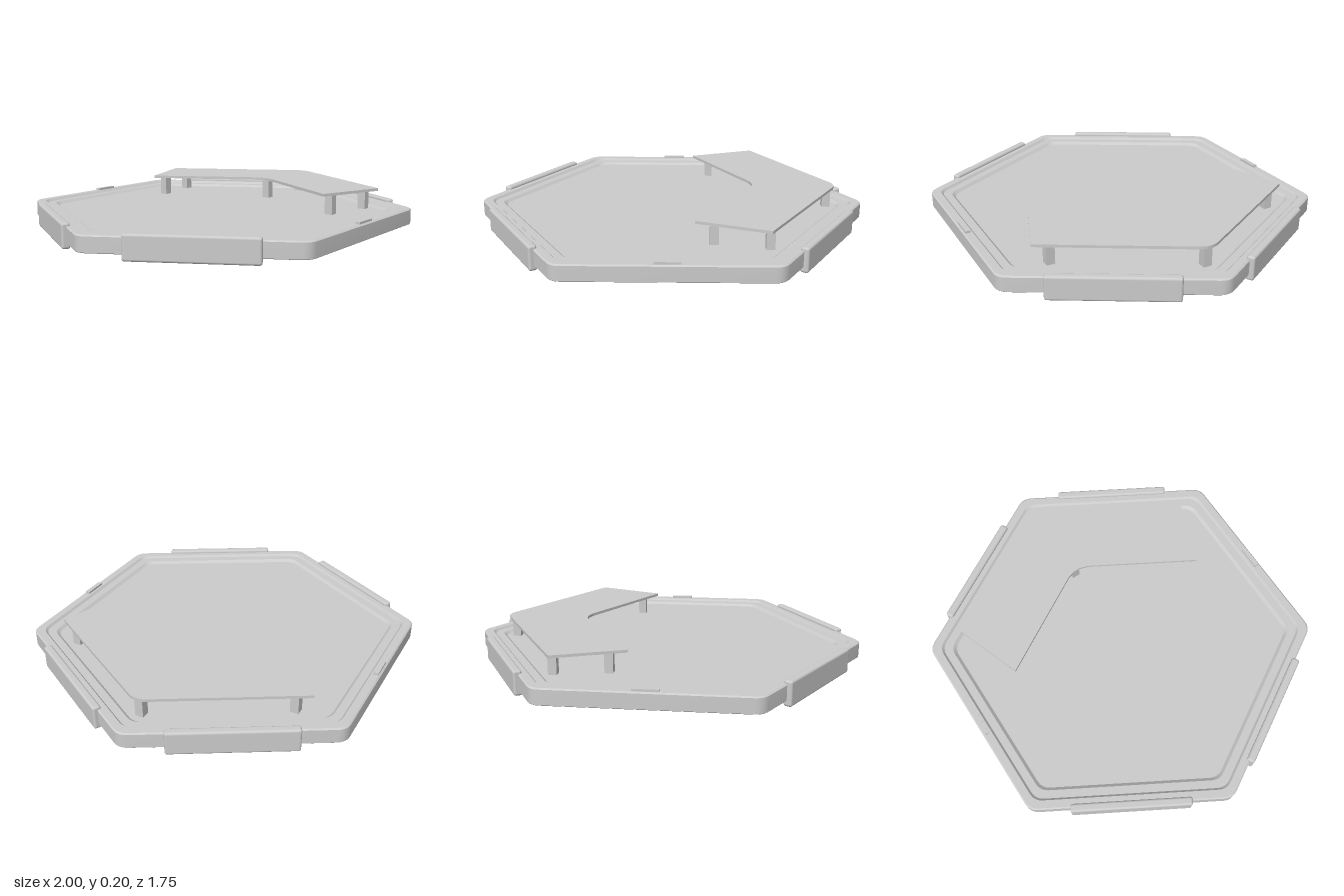
import * as THREE from 'three';
import { toCreasedNormals } from 'three/addons/utils/BufferGeometryUtils.js';
import { RoundedBoxGeometry } from 'three/addons/geometries/RoundedBoxGeometry.js';

const grey = new THREE.MeshStandardMaterial({ color: 0xcccccc });

function add(parent, name, geometry, x = 0, y = 0, z = 0) {
  const mesh = new THREE.Mesh(geometry, grey);
  mesh.name = name;
  mesh.position.set(x, y, z);
  parent.add(mesh);
  return mesh;
}

// Hexagon outline with rounded corners, pointing along x
function hexLoop(apothem, y, segments = 4) {
  const r = Math.min(0.07, apothem);
  const d = (apothem - r) / Math.cos(Math.PI / 6);
  const points = [];
  for (let k = 0; k < 6; k++) {
    const c = (k * Math.PI) / 3;
    for (let i = 0; i <= segments; i++) {
      const t = c + (i / segments - 0.5) * (Math.PI / 3);
      points.push([d * Math.cos(c) + r * Math.cos(t), y, d * Math.sin(c) + r * Math.sin(t)]);
    }
  }
  return points;
}

// Skin a list of [apothem, y] hexagon sections
function hexLoft(profile) {
  const loops = profile.map(([a, y]) => hexLoop(a, y));
  const pos = [];
  for (let i = 0; i < loops.length - 1; i++) {
    const lo = loops[i], hi = loops[i + 1];
    for (let j = 0; j < lo.length; j++) {
      const k = (j + 1) % lo.length;
      if (profile[i][0] > 0) pos.push(...lo[j], ...hi[j], ...lo[k]);
      if (profile[i + 1][0] > 0) pos.push(...hi[j], ...hi[k], ...lo[k]);
    }
  }
  const geo = new THREE.BufferGeometry();
  geo.setAttribute('position', new THREE.Float32BufferAttribute(pos, 3));
  return toCreasedNormals(geo, 0.4);
}

export function createModel() {
  const model = new THREE.Group();

  // Tray with a rim stepping down twice to the floor
  add(model, 'tray', hexLoft([
    [0, 0.027], [0.872, 0.027], [0.875, 0.03], [0.875, 0.102], [0.868, 0.108],
    [0.83, 0.108], [0.82, 0.097], [0.78, 0.097], [0.765, 0.084], [0, 0.084],
  ]));

  // Bumpers on the four slanted sides
  for (const deg of [60, 120, -60, -120]) {
    const a = THREE.MathUtils.degToRad(deg);
    const bumper = add(model, 'sideBumper', new RoundedBoxGeometry(0.605, 0.123, 0.042, 2, 0.012),
      Math.sin(a) * 0.877, 0.0615, Math.cos(a) * 0.877);
    bumper.rotation.y = a;
  }

  // Small tabs on the front and back rim
  for (const s of [1, -1]) {
    add(model, 'rimTab', new THREE.BoxGeometry(0.12, 0.02, 0.024), 0, 0.109, s * 0.853);
  }

  // Raised bent shelf
  const half = [[0.425, 0.02], [0.413, 0.06], [0.12, 0.567], [0.465, 0.695], [0.843, 0.04], [0.851, 0.014]];
  const outline = [...half, ...half.map(([x, z]) => [x, -z]).reverse()];
  const shape = new THREE.Shape(outline.map(([x, z]) => new THREE.Vector2(x, z)));
  const shelfGeo = new THREE.ExtrudeGeometry(shape, { depth: 0.014, bevelEnabled: false });
  shelfGeo.rotateX(-Math.PI / 2);
  add(model, 'shelf', shelfGeo, 0, 0.185, 0);

  // Square posts under the shelf
  const posts = [[0.21, 0.557], [0.21, -0.557], [0.465, 0.61], [0.465, -0.61], [0.465, 0], [0.815, 0]];
  for (const [x, z] of posts) {
    add(model, 'shelfPost', new THREE.BoxGeometry(0.042, 0.106, 0.042), x, 0.134, z);
  }

  return model;
}
